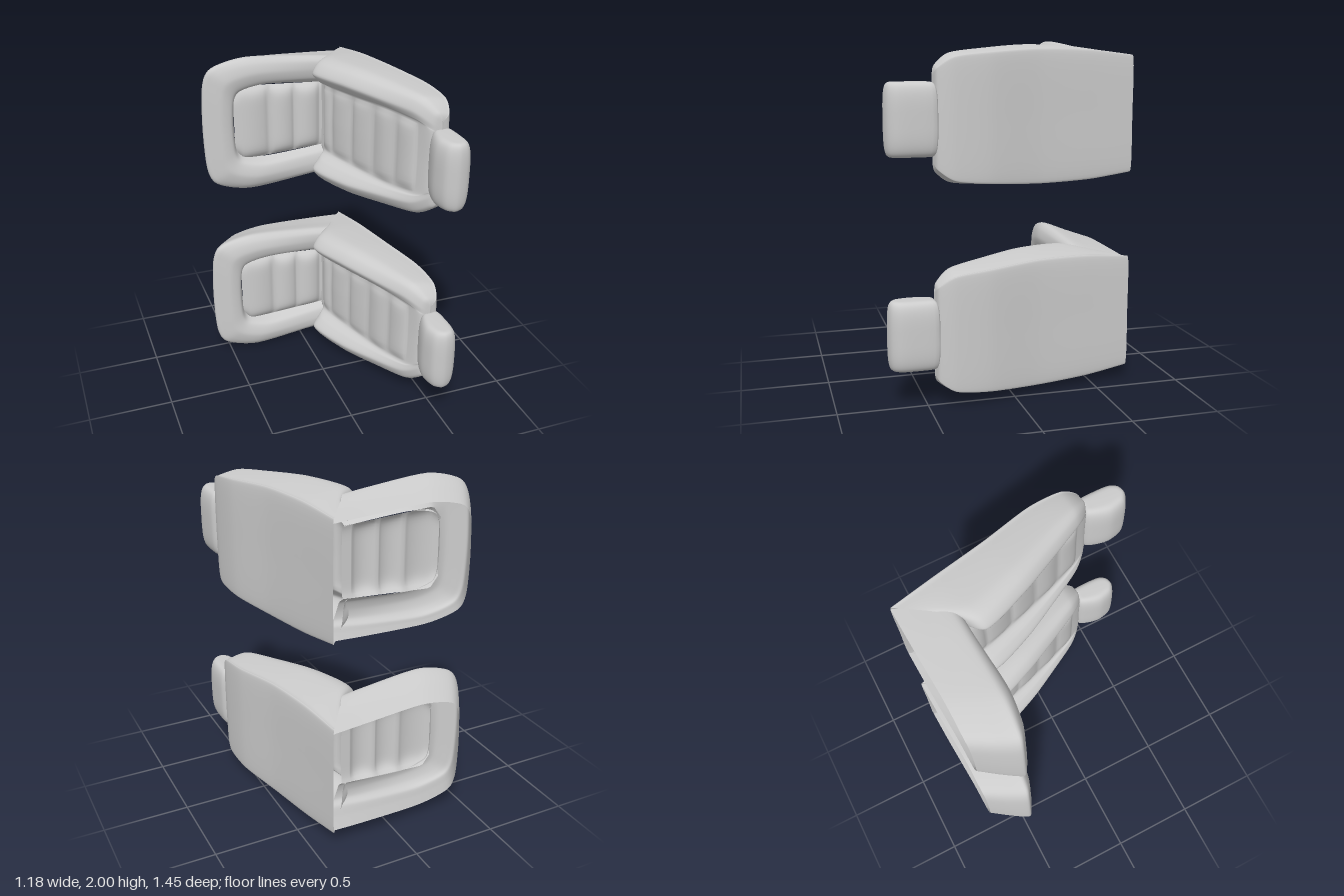
import * as THREE from 'three';
import { mergeVertices } from 'three/addons/utils/BufferGeometryUtils.js';

const material = new THREE.MeshStandardMaterial({ color: 0xcccccc, side: THREE.DoubleSide });
const mix = THREE.MathUtils.lerp;
const point = (x, y, z) => new THREE.Vector3(x, y, z);
const spline = (pts, closed = false) => new THREE.CatmullRomCurve3(pts, closed, 'catmullrom', 0.4);

// Turns rows of points into a smooth skin
function skin(rows, closed, name) {
  const n = rows[0].length, idx = [];
  for (let i = 0; i < rows.length - 1; i++) {
    for (let j = 0; j < (closed ? n : n - 1); j++) {
      const a = i * n + j, b = i * n + (j + 1) % n;
      idx.push(a, b, a + n, b, b + n, a + n);
    }
  }
  const raw = new THREE.BufferGeometry().setFromPoints(rows.flat());
  raw.setIndex(idx);
  const geometry = mergeVertices(raw, 1e-5);
  geometry.computeVertexNormals();
  const mesh = new THREE.Mesh(geometry, material);
  mesh.name = name;
  return mesh;
}

// Interpolates a small net of control points in both directions
function loft(net, nu, nv, closed) {
  const rails = net[0].map((_, j) => spline(net.map((row) => row[j])));
  const rows = [];
  for (let i = 0; i <= nu; i++) {
    const ring = spline(rails.map((rail) => rail.getPoint(i / nu)), closed);
    const row = [];
    for (let j = 0; j < (closed ? nv : nv + 1); j++) row.push(ring.getPoint(j / nv));
    rows.push(row);
  }
  return rows;
}

// Half outline -> whole outline, mirrored across the seat's middle (y = 0)
const mirror = (half) => half.concat(
  half.slice().reverse().filter((p) => p.y !== 0).map((p) => point(p.x, -p.y, p.z)));

// Seat shell: open-bottomed skirt, rolled rim, inner wall down to the pad
function cushionShell() {
  // Each layer: back x, front x, half width at back and middle, z at back, side and front
  const layers = [
    [.38, -.46, .31, .335, -.73, -.70, -.69],
    [.31, -.535, .335, .375, -.59, -.57, -.58],
    [.25, -.593, .36, .415, -.47, -.45, -.475],
    [.23, -.56, .34, .385, -.43, -.405, -.445],
    [.21, -.49, .29, .325, -.425, -.388, -.41],
    [.20, -.425, .235, .26, -.44, -.41, -.42],
    [.19, -.40, .20, .23, -.48, -.48, -.48],
  ];
  const net = layers.map(([xb, xf, wb, w, zb, zs, zf]) => mirror([
    point(xb, wb, zb),
    point(mix(xb, xf, .25), mix(wb, w, .48), mix(zb, zs, .3)),
    point(mix(xb, xf, .68), w, zs),
    point(mix(xb, xf, .92), w * .88, mix(zs, zf, .45)),
    point(mix(xb, xf, .985), w * .63, mix(zs, zf, .85)),
    point(xf, 0, zf),
  ]));
  return skin(loft(net, 36, 60, false), false, 'cushionShell');
}

// Pleated seat pad
function cushionPad() {
  const seams = [-.40, -.18, -.02, .14, .20], rows = [];
  for (let k = 0; k < 4; k++) {
    for (let i = k ? 1 : 0; i <= 10; i++) {
      const x = mix(seams[k], seams[k + 1], i / 10);
      const puff = k === 3 ? 0 : Math.sin(Math.PI * i / 10) ** .6 || 0;
      const w = Math.min(.235 - .06 * Math.max(0, x + .33), .17 + (x + .40) * 1.3);
      const row = [];
      for (let j = 0; j <= 24; j++) {
        const s = 1 - j / 12;
        row.push(point(x, s * w, -.48 + (.012 + .033 * puff) * (1 - s ** 8)));
      }
      rows.push(row);
    }
  }
  return skin(rows, false, 'cushionPad');
}

// Backrest: stations from the open foot to the rounded top
function backrest() {
  // Each station: panel x, z; bolster crown x, z; back x, z; half widths of panel and whole
  const stations = [
    [.16, -.46, .18, -.45, .38, -.73, .20, .355],
    [.175, -.33, .057, -.34, .427, -.46, .205, .385],
    [.245, -.10, .148, -.08, .487, -.15, .21, .39],
    [.33, .15, .27, .16, .566, .15, .215, .37],
    [.41, .36, .38, .36, .582, .35, .20, .345],
    [.455, .445, .455, .445, .56, .44, .17, .285],
  ];
  const net = stations.map(([xp, zp, xc, zc, xb, zb, wp, w]) => {
    const toBack = (t, y) => point(mix(xc, xb, t), -y, mix(zc, zb, t));
    return mirror([
      point(xp, 0, zp),
      point(xp - .004, -wp, zp),
      point(mix(xp, xc, .6), -mix(wp, w * .78, .45), mix(zp, zc, .6)),
      toBack(0, w * .79),
      toBack(.12, w * .945),
      toBack(.35, w),
      toBack(.9, w * .94),
      toBack(1, w * .86),
      point(xb + .003, 0, zb),
    ]);
  });
  net.push(net[5].map((p) => point(.51, p.y * .85, .462)));
  const rows = loft(net, 84, 96, true);
  // Pleats across the recessed front panel
  rows.slice(5, 58).forEach((row, i) => {
    const puff = Math.abs(Math.sin(Math.PI * 5 * i / 52)) ** .6;
    row.forEach((p, j) => {
      const s = Math.min(j, 96 - j) / 6;
      if (s < 1) p.x -= .022 * puff * (1 - s ** 6);
    });
  });
  return skin(rows, true, 'backrest');
}

// Headrest: side profile swept across the seat, pinched at both ends
function headrest() {
  const profile = [[.45, .45], [.415, .53], [.405, .60], [.43, .685], [.49, .72],
    [.55, .705], [.583, .66], [.59, .58], [.582, .45], [.52, .445]];
  const side = spline(profile.map(([x, z]) => point(x, 0, z)), true);
  const rows = [];
  for (let i = -20; i <= 20; i++) {
    const angle = i * Math.PI / 40;
    const y = Math.sign(i) * .197 * Math.abs(Math.sin(angle)) ** .6;
    const c = Math.abs(i) === 20 ? 0 : Math.cos(angle);
    const row = [];
    for (let j = 0; j < 40; j++) {
      const p = side.getPoint(j / 40);
      row.push(point(.5 + (p.x - .5) * c ** .4, y, .58 + (p.z - .58) * c ** .15));
    }
    rows.push(row);
  }
  return skin(rows, true, 'headrest');
}

export function createModel() {
  const model = new THREE.Group();
  model.name = 'seatPair';
  const parts = [cushionShell(), cushionPad(), backrest(), headrest()];
  // Two identical seats, one above the other
  [['lowerSeat', .418], ['upperSeat', 1.583]].forEach(([name, y]) => {
    const seat = new THREE.Group();
    seat.name = name;
    parts.forEach((part) => seat.add(part.clone()));
    seat.position.y = y;
    model.add(seat);
  });
  return model;
}
